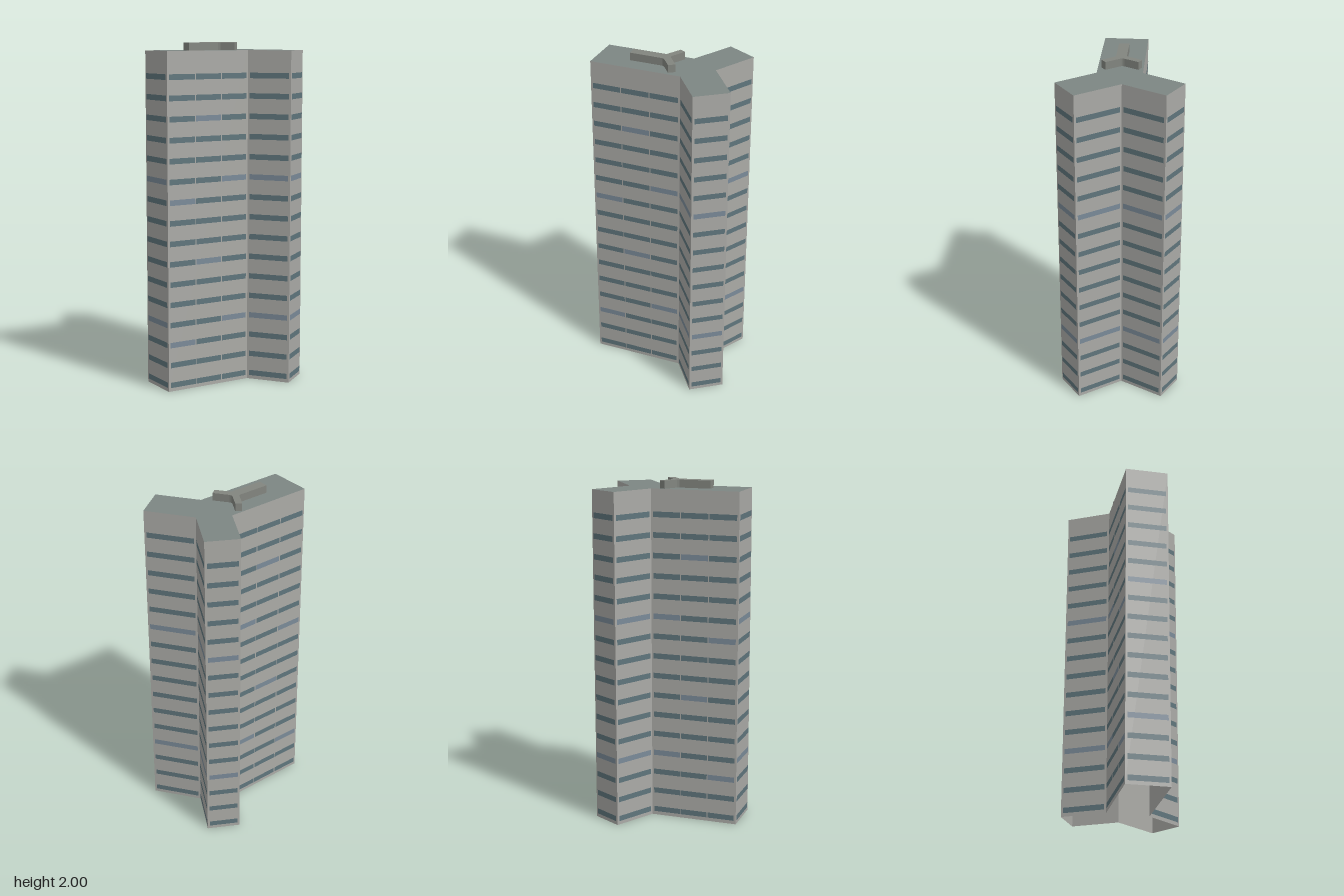
import * as THREE from 'three';

const ROOF_Y = 1.955, FLOORS = 16, FLOOR_STEP = 0.1182, FIRST_Y = 0.037;

// Plan outlines as [x, z], clockwise seen from above
const TOWER = [
  [-0.238, -0.434], [-0.01, -0.27], [0.25, -0.412], [0.35, -0.23], [0.12, -0.102],
  [0.053, 0.432], [-0.197, 0.4], [-0.133, -0.117], [-0.352, -0.277],
];
const PENTHOUSE = [
  [-0.111, -0.07], [-0.037, -0.016], [-0.026, -0.012], [-0.014, -0.015], [0.07, -0.062],
  [0.09, -0.026], [0.015, 0.017], [0.007, 0.028], [-0.018, 0.222], [-0.077, 0.215],
  [-0.053, 0.03], [-0.057, 0.018], [-0.133, -0.04],
];

const material = (color, side = THREE.FrontSide) =>
  new THREE.MeshStandardMaterial({ color, side });

const planShape = (pts) => new THREE.Shape(pts.map(([x, z]) => new THREE.Vector2(x, -z)));

function addMesh(parent, name, geometry, mat) {
  const mesh = new THREE.Mesh(geometry, mat);
  mesh.name = name;
  parent.add(mesh);
  return mesh;
}

export function createModel() {
  const model = new THREE.Group();
  model.name = 'tower';
  const wallMat = material(0xaaaaa6, THREE.DoubleSide);
  const roofMat = material(0x7d8683, THREE.DoubleSide);
  const glassMat = material(0x5f757c);
  const paleGlassMat = material(0x7a8a98);

  // Walls: one facade per plan edge, open at the bottom
  TOWER.forEach(([ax, az], i) => {
    const [bx, bz] = TOWER[(i + 1) % TOWER.length];
    const dx = bx - ax, dz = bz - az;
    const length = Math.hypot(dx, dz);
    const facade = new THREE.Group();
    facade.name = `facade${i + 1}`;
    facade.position.set((ax + bx) / 2, 0, (az + bz) / 2);
    facade.rotation.y = Math.atan2(dz, -dx);
    model.add(facade);
    addMesh(facade, 'wall', new THREE.PlaneGeometry(length, ROOF_Y), wallMat).position.y = ROOF_Y / 2;

    // Window bands: the long sides are split into three
    const panels = length > 0.4 ? 3 : 1;
    const margin = 0.012, gap = 0.006;
    const width = (length - 2 * margin - gap * (panels - 1)) / panels;
    const band = new THREE.PlaneGeometry(width, 0.032);
    // Panels are counted from the tip of the front wing
    const dir = bz > az ? -1 : 1;
    for (let floor = 0; floor < FLOORS; floor++) {
      for (let p = 0; p < panels; p++) {
        const pale = floor % 7 === (panels === 3 ? (2 + 4 * p) % 7 : 3);
        const along = (p - (panels - 1) / 2) * (width + gap) * dir;
        // Local +x runs from b to a
        addMesh(facade, 'windowBand', band, pale ? paleGlassMat : glassMat)
          .position.set(-along, FIRST_Y + floor * FLOOR_STEP, 0.0015);
      }
    }
  });

  // Flat roof
  const roof = addMesh(model, 'roof', new THREE.ShapeGeometry(planShape(TOWER)), roofMat);
  roof.rotation.x = -Math.PI / 2;
  roof.position.y = ROOF_Y;

  // Small rooftop block with the same three wings
  const penthouse = addMesh(model, 'penthouse',
    new THREE.ExtrudeGeometry(planShape(PENTHOUSE), { depth: 2 - ROOF_Y, bevelEnabled: false }),
    material(0x82857f));
  penthouse.rotation.x = -Math.PI / 2;
  penthouse.position.y = ROOF_Y;

  return model;
}
